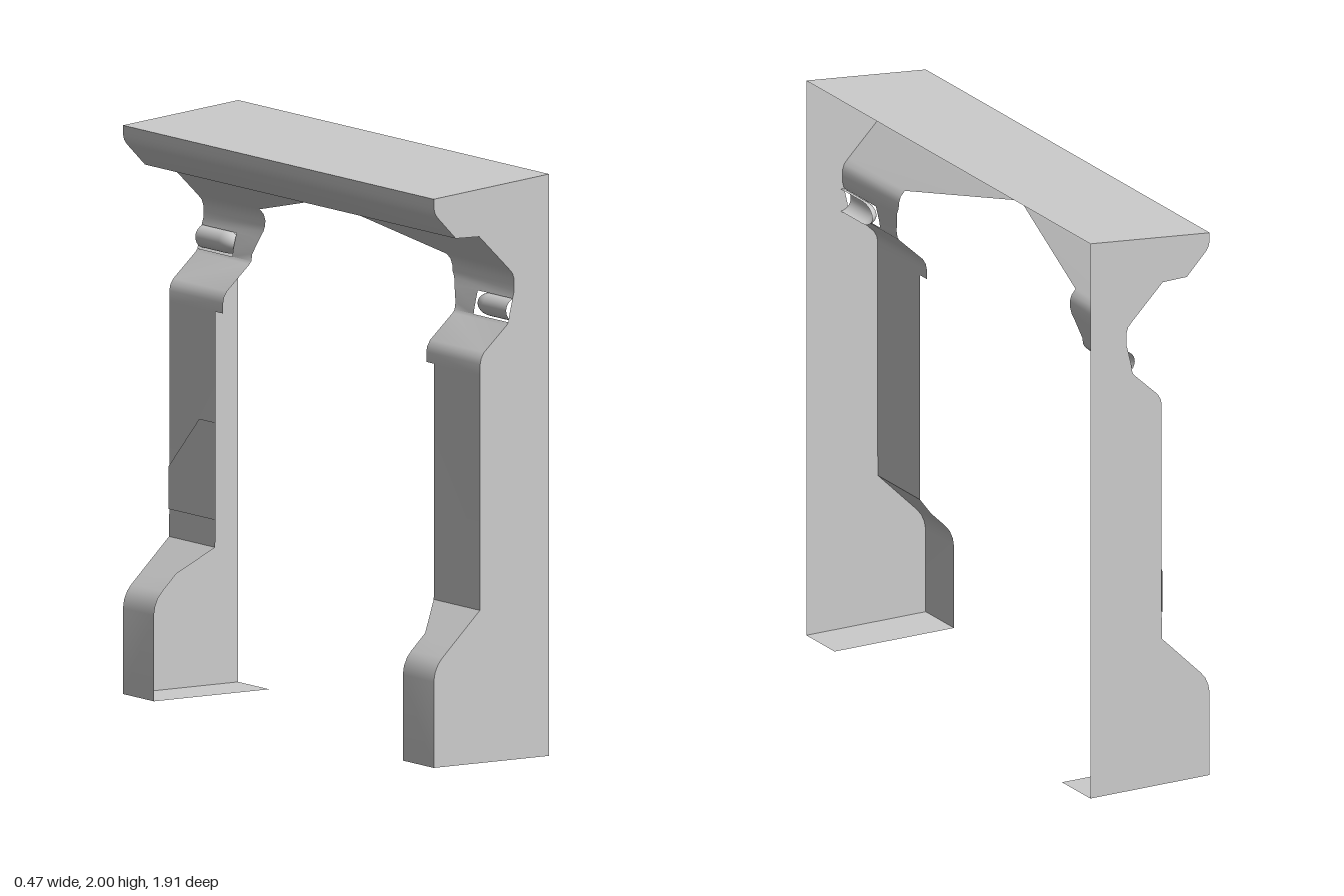
import * as THREE from 'three';
import { toCreasedNormals } from 'three/addons/utils/BufferGeometryUtils.js';

const material = new THREE.MeshStandardMaterial({ color: 0xcccccc, side: THREE.DoubleSide });
const END = 0.953, BACK = 0.235, POCKET = 0.74;

// Front sheet of one half, top to bottom: x, y, z of the opening edge, and
// the z where the strip below stops (where the pocket cuts it short)
const rows = [
  [-0.235, 1.955, 0], [-0.235, 1.925, 0], [-0.23, 1.905, 0], [-0.22, 1.89, 0],
  [-0.145, 1.812, 0], [-0.05, 1.81, 0],
  [0.07, 1.69, 0.573], [0.086, 1.672, 0.573], [0.093, 1.65, 0.573], [0.093, 1.63, 0.575],
  [0.093, 1.61, 0.585], [0.086, 1.585, 0.597, POCKET], [0.073, 1.53, 0.623, POCKET],
  [0.069, 1.505, 0.623], [0.062, 1.495, 0.623],
  [-0.03, 1.41, 0.623], [-0.042, 1.39, 0.623], [-0.046, 1.37, 0.623], [-0.046, 1.335, 0.623],
  [-0.046, 1.335, 0.67], [-0.046, 0.62, 0.67], [-0.047, 0.525, 0.67],
  [-0.144, 0.43, 0.763], [-0.2, 0.375, 0.763], [-0.218, 0.353, 0.763],
  [-0.23, 0.325, 0.763], [-0.235, 0.295, 0.763], [-0.235, 0, 0.763],
];

function mesh(name, geometry) {
  const m = new THREE.Mesh(geometry, material);
  m.name = name;
  return m;
}

// Geometry from a list of four-cornered faces
function quads(faces) {
  const p = [];
  for (const [a, b, c, d] of faces) p.push(...a, ...b, ...c, ...a, ...c, ...d);
  const g = new THREE.BufferGeometry();
  g.setAttribute('position', new THREE.Float32BufferAttribute(p, 3));
  g.computeVertexNormals();
  return toCreasedNormals(g, 0.55);
}

function frontSheet() {
  const faces = [];
  for (let i = 0; i < rows.length - 1; i++) {
    const [x0, y0, z0, outer = END] = rows[i];
    const [x1, y1, z1] = rows[i + 1];
    if (x0 === x1 && y0 === y1) continue;
    faces.push([[x0, y0, z0], [x1, y1, z1], [x1, y1, outer], [x0, y0, outer]]);
  }
  return quads(faces);
}

function endWall() {
  const outline = rows.map(([x, y]) => new THREE.Vector2(x, y));
  outline.push(new THREE.Vector2(BACK, 0), new THREE.Vector2(BACK, 2));
  return new THREE.ShapeGeometry(new THREE.Shape(outline)).translate(0, 0, END);
}

// Half-round recess with a domed inner end, bulging out of the front sheet
function pocketShell() {
  const r = 0.04, tip = 0.07, profile = [];
  for (let i = 0; i <= 8; i++) {
    const t = (i / 8) * Math.PI / 2;
    profile.push(new THREE.Vector2(r * Math.sin(t), POCKET + tip * (1 - Math.cos(t))));
  }
  profile.push(new THREE.Vector2(r, END));
  return new THREE.LatheGeometry(profile, 16, Math.PI, Math.PI)
    .rotateX(Math.PI / 2).translate(0.1, 1.545, 0);
}

function side(name, sign) {
  const g = new THREE.Group();
  g.name = name;
  g.add(mesh('frontSheet', frontSheet()));
  g.add(mesh('endWall', endWall()));
  g.add(mesh('pocket', pocketShell()));
  g.add(mesh('footPlate', quads([
    [[-BACK, 0, 0.763], [BACK, 0, 0.763], [BACK, 0, END], [-BACK, 0, END]],
  ])));
  g.scale.z = sign;
  return g;
}

export function createModel() {
  const model = new THREE.Group();
  model.name = 'doorFrame';
  model.add(side('frontSide', 1), side('rearSide', -1));

  // Sloping roof
  model.add(mesh('roof', quads([
    [[-BACK, 1.955, -END], [-BACK, 1.955, END], [BACK, 2, END], [BACK, 2, -END]],
  ])));

  // Thin raised panel with a cut corner on the rear post
  const panel = new THREE.Shape([
    [0.67, 0.62], [END, 0.62], [END, 0.765], [0.763, 0.955], [0.67, 0.955],
  ].map(([z, y]) => new THREE.Vector2(z, y)));
  const raised = mesh('raisedPanel', new THREE.ShapeGeometry(panel)
    .rotateY(Math.PI / 2).translate(-0.05, 0, 0));
  model.add(raised);
  return model;
}
